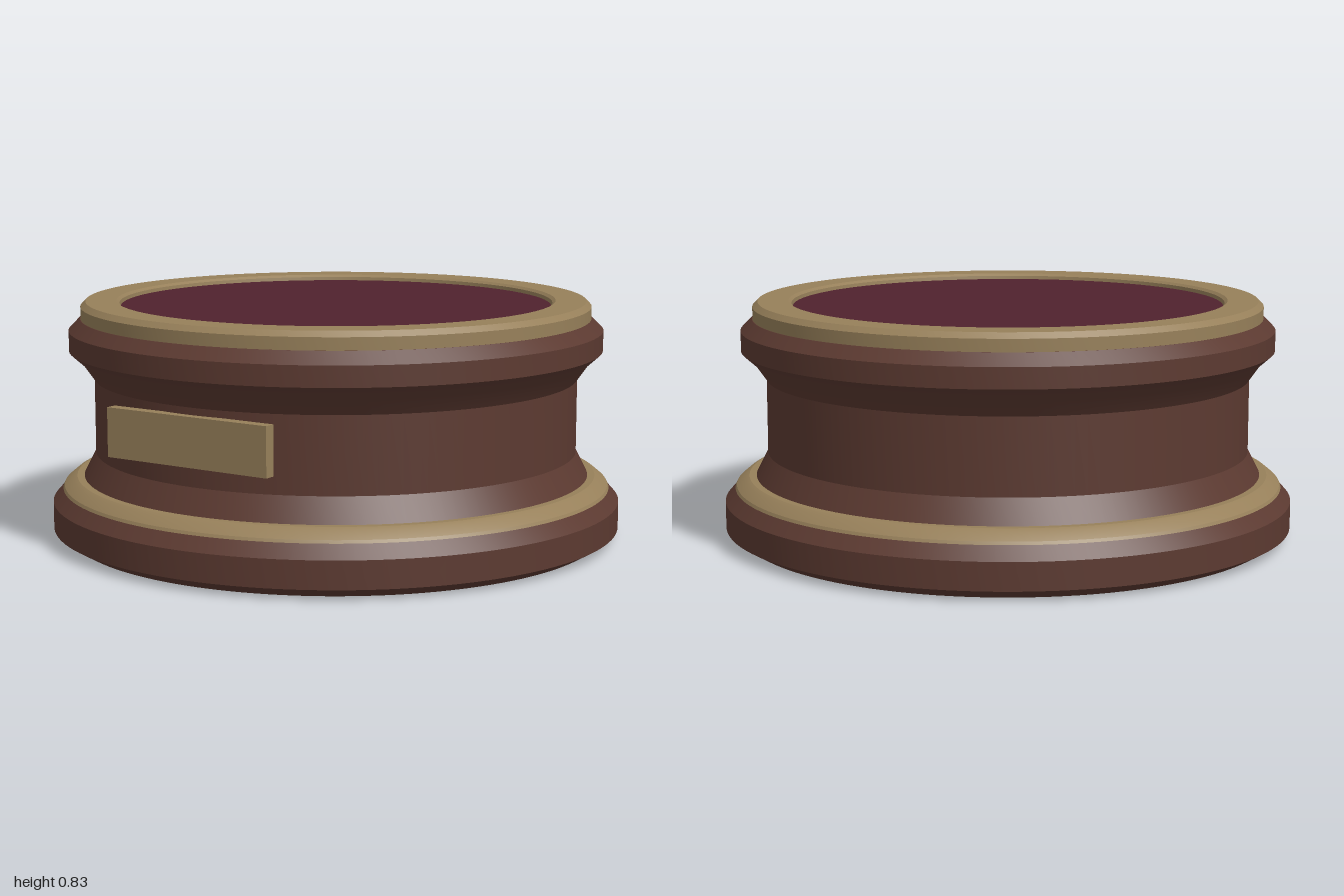
import * as THREE from 'three';
import { toCreasedNormals } from 'three/addons/utils/BufferGeometryUtils.js';

const material = (name, color) => {
  const m = new THREE.MeshStandardMaterial({ color });
  m.name = name;
  return m;
};

export function createModel() {
  const wood = material('dark wood', 0x5c3a31);
  const brass = material('aged brass', 0x97805a);
  const felt = material('burgundy felt', 0x50222e);

  const group = new THREE.Group();
  group.name = 'displayPedestal';

  const add = (name, geometry, mat) => {
    const mesh = new THREE.Mesh(geometry, mat);
    mesh.name = name;
    group.add(mesh);
    return mesh;
  };

  // Turned part from a [radius, height] profile, listed bottom to top on the outside
  const turned = (name, profile, mat) => {
    const points = profile.map(([r, y]) => new THREE.Vector2(r, y));
    return add(name, toCreasedNormals(new THREE.LatheGeometry(points, 128), 0.35), mat);
  };

  // Wooden foot with chamfered edges
  turned('foot', [[0, 0], [0.94, 0], [1, 0.035], [1, 0.13], [0.96, 0.175], [0.8, 0.175]], wood);

  // Brass band on the foot
  turned('footBand', [[0.9, 0.172], [0.965, 0.175], [0.96, 0.185], [0.93, 0.21], [0.915, 0.217], [0.85, 0.217]], brass);

  // Waisted wooden body and its flared rim
  turned('body', [
    [0.89, 0.2], [0.89, 0.217], [0.848, 0.3], [0.848, 0.56], [0.89, 0.62],
    [0.935, 0.66], [0.935, 0.73], [0.895, 0.77], [0.7, 0.77],
  ], wood);

  // Brass ring around the top, with a rounded inner lip
  turned('topRing', [
    [0.85, 0.768], [0.893, 0.77], [0.893, 0.812], [0.875, 0.83],
    [0.768, 0.83], [0.757, 0.822], [0.752, 0.78],
  ], brass);

  // Recessed felt disc
  add('feltTop', new THREE.CylinderGeometry(0.753, 0.753, 0.04, 128), felt).position.y = 0.79;

  // Blank plaque on the front
  add('plaque', new THREE.BoxGeometry(0.636, 0.166, 0.04), brass).position.set(0, 0.453, 0.86);

  return group;
}
